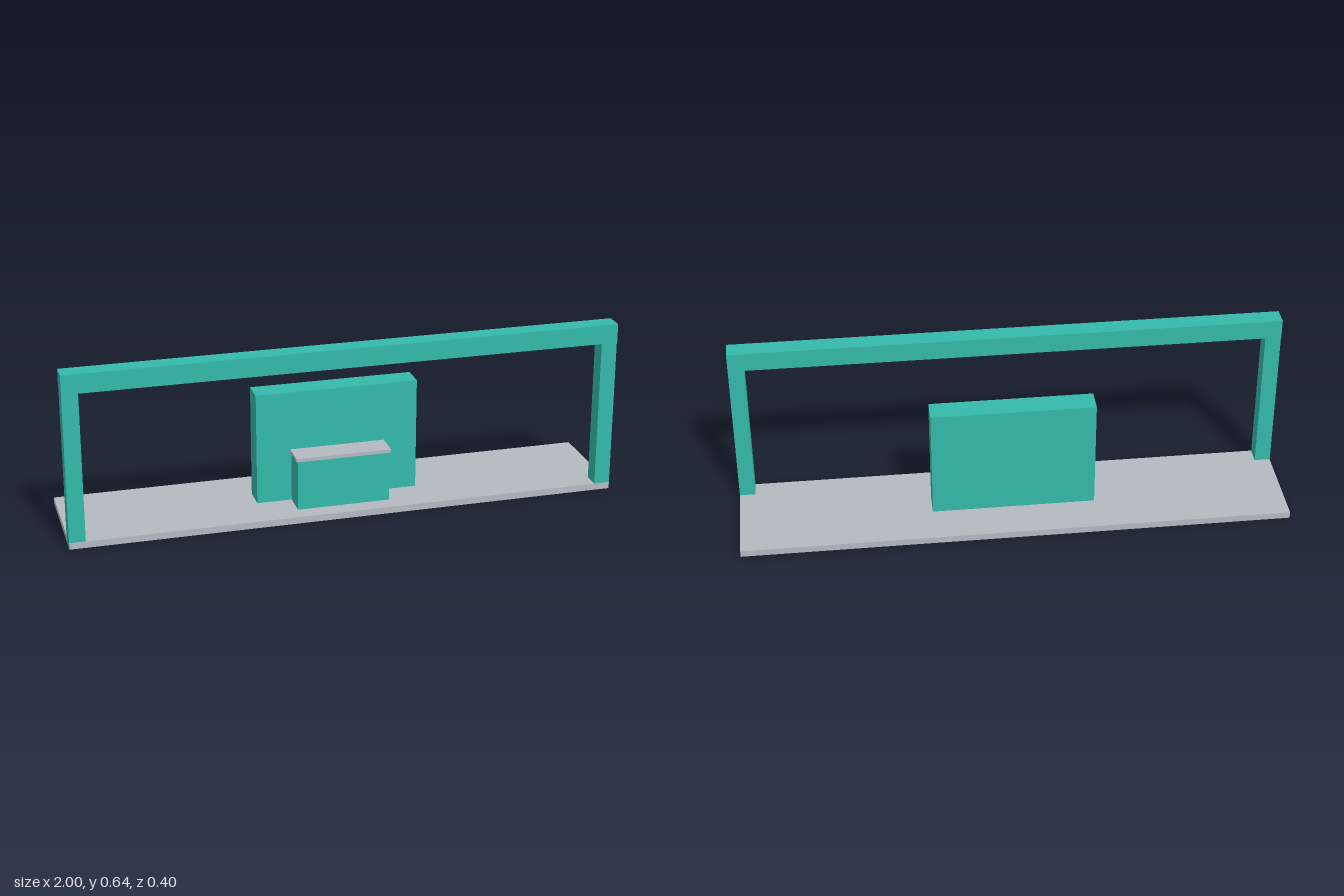
import * as THREE from 'three';

export function createModel() {
  const group = new THREE.Group();
  const teal = new THREE.MeshStandardMaterial({ name: 'teal', color: 0x34baab });
  const grey = new THREE.MeshStandardMaterial({ name: 'grey', color: 0xb4bac1 });

  // Box given by its limits on each axis
  const box = (name, material, [x0, x1], [y0, y1], [z0, z1]) => {
    const mesh = new THREE.Mesh(new THREE.BoxGeometry(x1 - x0, y1 - y0, z1 - z0), material);
    mesh.position.set((x0 + x1) / 2, (y0 + y1) / 2, (z0 + z1) / 2);
    mesh.name = name;
    group.add(mesh);
  };

  // Floor slab, a hair inside the posts so faces do not coincide
  box('floorSlab', grey, [-0.9995, 0.9995], [0.0005, 0.025], [-0.2, 0.2]);

  // Gateway at the front edge: two posts and a beam
  box('leftPost', teal, [0.942, 1], [0, 0.575], [0.137, 0.199]);
  box('rightPost', teal, [-1, -0.942], [0, 0.575], [0.137, 0.199]);
  box('topBeam', teal, [-1, 1], [0.572, 0.642], [0.133, 0.202]);

  // Back wall with the counter in front of it
  box('backWall', teal, [-0.298, 0.298], [0, 0.44], [-0.045, 0.044]);
  box('counter', teal, [-0.17, 0.17], [0, 0.209], [0.044, 0.137]);
  box('counterTop', grey, [-0.175, 0.175], [0.209, 0.222], [0.044, 0.138]);

  return group;
}
